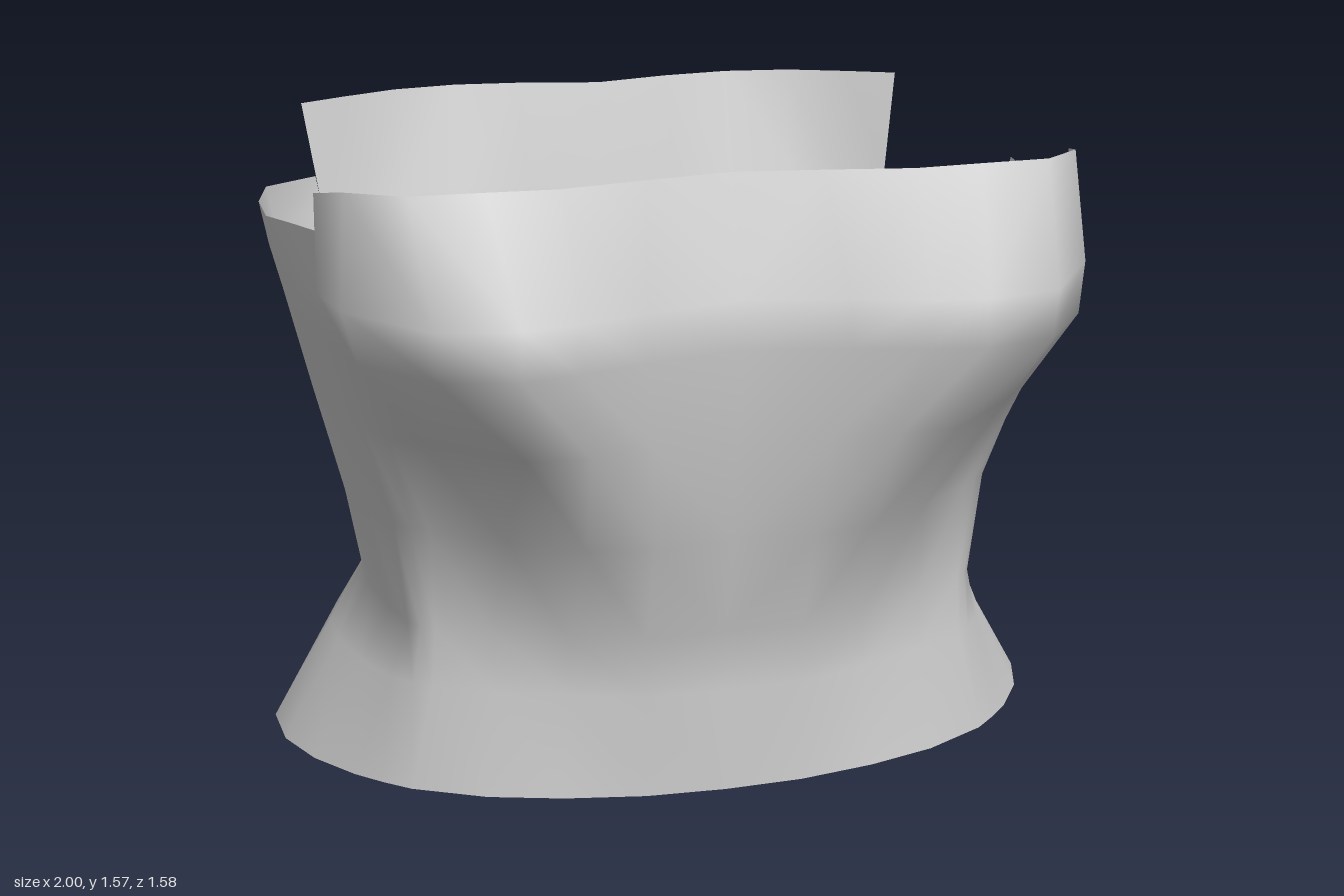
import * as THREE from 'three';
import { mergeVertices } from 'three/addons/utils/BufferGeometryUtils.js';

// Heights of the shared cross-sections: hem, hip, waist, midriff, ribs, under bust, bust
const HEIGHTS = [0.01, 0.27, 0.42, 0.68, 0.95, 1.17, 1.29];

// Each panel covers part of the left half, from front to back.
// rows: [x, z] along each cross-section; rim: [x, z, y] of the top edge.
const FRONT = {
  rows: [
    [[0, .52], [.2, .51], [.4, .47], [.58, .41], [.75, .31], [.81, .25], [.87, .18]],
    [[0, .515], [.2, .51], [.38, .445], [.55, .375], [.69, .3], [.73, .26], [.775, .2]],
    [[0, .51], [.2, .51], [.38, .435], [.55, .365], [.68, .3], [.71, .27], [.735, .23]],
    [[0, .575], [.2, .6], [.36, .56], [.53, .45], [.69, .31], [.73, .275], [.765, .24]],
    [[0, .615], [.22, .66], [.38, .69], [.53, .68], [.74, .47], [.8, .4], [.845, .3]],
    [[0, .64], [.25, .695], [.42, .745], [.56, .775], [.745, .725], [.89, .53], [.925, .31]],
    [[0, .64], [.25, .7], [.42, .76], [.56, .785], [.75, .74], [.92, .49], [.945, .3]],
  ],
  rim: [[0, .54, 1.575], [.22, .575, 1.575], [.43, .615, 1.575], [.6, .605, 1.575],
    [.78, .575, 1.57], [.9, .45, 1.56], [.945, .3, 1.53]],
};
const SIDE = {
  rows: [
    [[.87, .18], [.95, .05], [1, -.1], [1, -.27]],
    [[.775, .2], [.825, .07], [.855, -.1], [.85, -.25]],
    [[.735, .23], [.757, .1], [.775, -.08], [.765, -.23]],
    [[.765, .24], [.805, .1], [.83, -.08], [.815, -.22]],
    [[.845, .3], [.88, .12], [.9, -.1], [.885, -.23]],
    [[.925, .31], [.94, .13], [.95, -.1], [.945, -.23]],
    [[.945, .3], [.96, .12], [.98, -.1], [.978, -.22]],
  ],
  rim: [[.945, .3, 1.44], [.97, .1, 1.415], [1, -.1, 1.39], [1, -.22, 1.4]],
};
const SIDE_REAR = {
  rows: [
    [[1, -.27], [.94, -.43], [.82, -.55]],
    [[.85, -.25], [.81, -.38], [.71, -.49]],
    [[.765, -.23], [.735, -.33], [.635, -.45]],
    [[.815, -.22], [.765, -.335], [.655, -.46]],
    [[.885, -.23], [.835, -.36], [.71, -.5]],
    [[.945, -.23], [.9, -.41], [.76, -.565]],
    [[.978, -.22], [.93, -.43], [.78, -.6]],
  ],
  rim: [[1, -.22, 1.4], [.95, -.43, 1.39], [.793, -.613, 1.37]],
  leftDrop: [0.07, 0.08, 0.07], // this rim sits lower on the left side
};
const BACK = {
  rows: [
    [[.82, -.55], [.68, -.635], [.52, -.68], [.36, -.7], [.2, -.71], [0, -.71]],
    [[.71, -.49], [.58, -.57], [.48, -.6], [.36, -.615], [.2, -.625], [0, -.615]],
    [[.635, -.45], [.56, -.515], [.47, -.55], [.36, -.57], [.2, -.58], [0, -.56]],
    [[.655, -.46], [.57, -.53], [.48, -.565], [.36, -.585], [.2, -.59], [0, -.565]],
    [[.71, -.5], [.6, -.57], [.49, -.595], [.37, -.605], [.2, -.6], [0, -.575]],
    [[.76, -.565], [.65, -.635], [.52, -.66], [.38, -.67], [.2, -.66], [0, -.62]],
    [[.78, -.6], [.67, -.66], [.54, -.695], [.38, -.705], [.2, -.69], [0, -.65]],
  ],
  rim: [[.82, -.64, 1.56], [.7, -.7, 1.56], [.55, -.765, 1.56], [.38, -.79, 1.56],
    [.2, -.77, 1.56], [0, -.72, 1.56]],
};

// Adds one panel on the given side (sign +1 left, -1 right)
function addPanel(panel, sign, positions, indices) {
  const start = positions.length / 3;
  const cols = panel.rim.length;
  panel.rows.forEach((row, r) => {
    for (const [x, z] of row) positions.push(sign * x, HEIGHTS[r], z);
  });
  const last = panel.rows.length - 1;
  panel.rim.forEach(([x, z, y], c) => {
    const drop = sign > 0 && panel.leftDrop ? panel.leftDrop[c] : 0;
    const t = 1 - drop / (y - HEIGHTS[last]);
    const [bx, bz] = panel.rows[last][c];
    positions.push(sign * (bx + (x - bx) * t), y - drop, bz + (z - bz) * t);
  });
  for (let r = 0; r <= last; r++) {
    for (let c = 0; c < cols - 1; c++) {
      const a = start + r * cols + c, b = a + 1, d = a + cols, e = d + 1;
      if (sign > 0) indices.push(a, b, e, a, e, d);
      else indices.push(a, e, b, a, d, e);
    }
  }
}

export function createModel() {
  const fabric = new THREE.MeshStandardMaterial({ color: 0xcccccc, side: THREE.DoubleSide });
  fabric.name = 'light grey fabric';

  // Open garment shell; panels weld below the rim and step apart at the top
  const positions = [], indices = [];
  for (const sign of [1, -1]) {
    for (const panel of [FRONT, SIDE, SIDE_REAR, BACK]) addPanel(panel, sign, positions, indices);
  }
  let geometry = new THREE.BufferGeometry();
  geometry.setAttribute('position', new THREE.Float32BufferAttribute(positions, 3));
  geometry.setIndex(indices);
  geometry = mergeVertices(geometry, 1e-4);
  geometry.computeVertexNormals();

  const bodice = new THREE.Mesh(geometry, fabric);
  bodice.name = 'bodice';
  const group = new THREE.Group();
  group.name = 'strapless top';
  group.add(bodice);
  return group;
}
